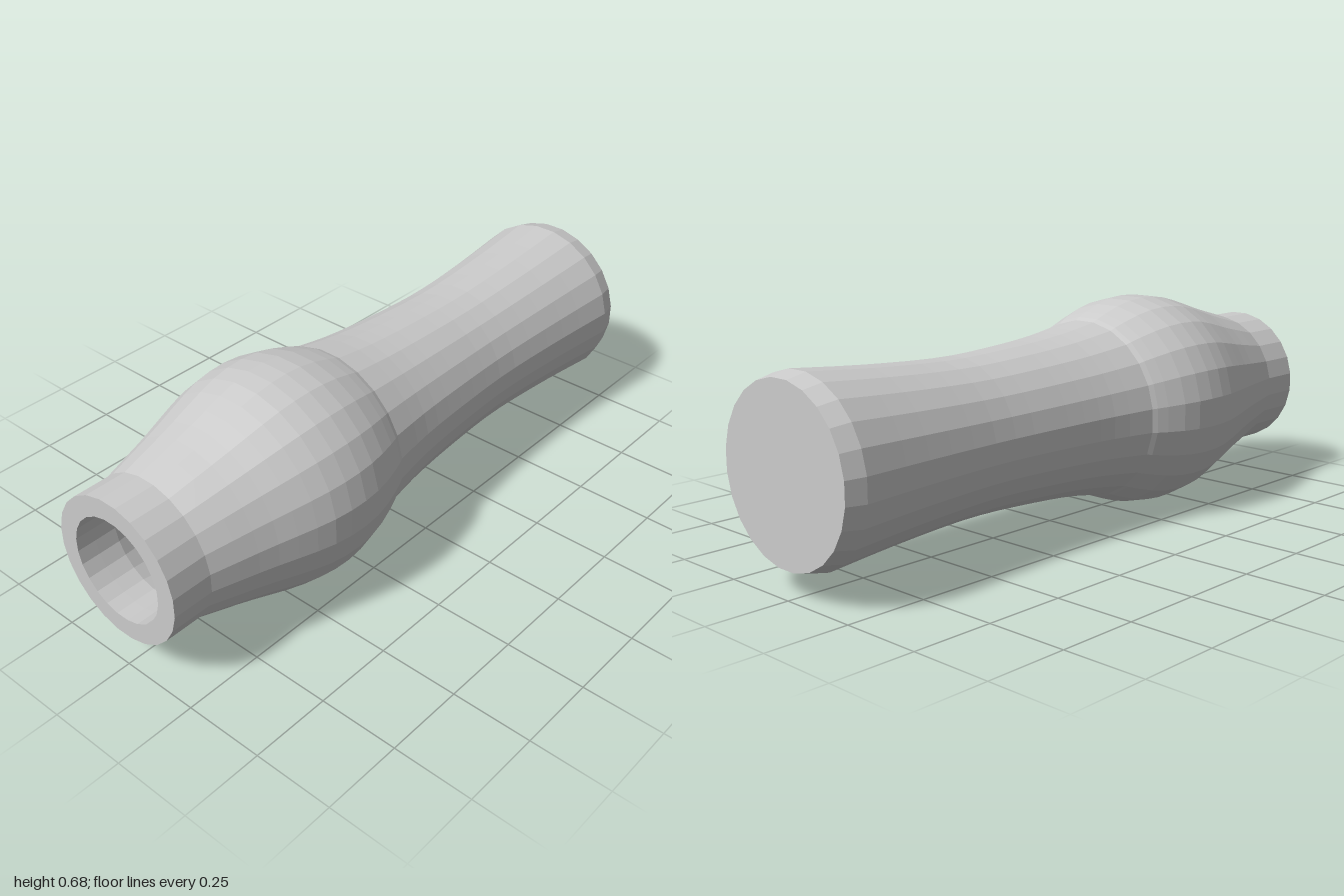
import * as THREE from 'three';

const SIDES = 24;
const AXIS_Y = 0.341;
const material = new THREE.MeshStandardMaterial({ color: 0xcccccc, flatShading: true });

// Smooth run of profile points given as [radius, z]
const curve = (pts, n) => new THREE.SplineCurve(pts.map(p => new THREE.Vector2(...p))).getPoints(n);
const line = pts => pts.map(p => new THREE.Vector2(...p));

// Turned part: the profile runs along z
function turned(name, points) {
  const geometry = new THREE.LatheGeometry(points, SIDES, Math.PI / SIDES);
  geometry.rotateX(Math.PI / 2);
  const mesh = new THREE.Mesh(geometry, material);
  mesh.name = name;
  return mesh;
}

export function createModel() {
  const group = new THREE.Group();
  group.name = 'hollowGrip';

  const handle = [[0.271, -0.94], [0.25, -0.7], [0.236, -0.43], [0.243, -0.2], [0.258, 0], [0.282, 0.16]];
  const bulb = [[0.282, 0.16], [0.3, 0.2], [0.331, 0.3], [0.341, 0.4], [0.331, 0.5], [0.303, 0.6],
    [0.272, 0.7], [0.245, 0.8], [0.226, 0.87]];

  // Wall offset for the hollow interior
  const inset = pts => pts.map(([r, z]) => [r - 0.062, z]).reverse();

  group.add(
    turned('endCap', line([[0, -1], [0.257, -1], [0.271, -0.94]])),
    turned('handle', curve(handle, 16)),
    turned('bulb', curve(bulb, 14)),
    turned('neck', line([[0.226, 0.87], [0.226, 1]])),
    turned('rim', line([[0.226, 1], [0.163, 1]])),
    turned('bore', line([[0.163, 1], [0.163, 0.94]])),
    turned('bulbCavity', [...line([[0.163, 0.94]]), ...curve(inset(bulb), 14)]),
    turned('handleCavity', curve(inset(handle), 12)),
    turned('cavityFloor', line([[0.209, -0.94], [0, -0.94]])),
  );

  group.position.y = AXIS_Y;
  const root = new THREE.Group();
  root.add(group);
  return root;
}
